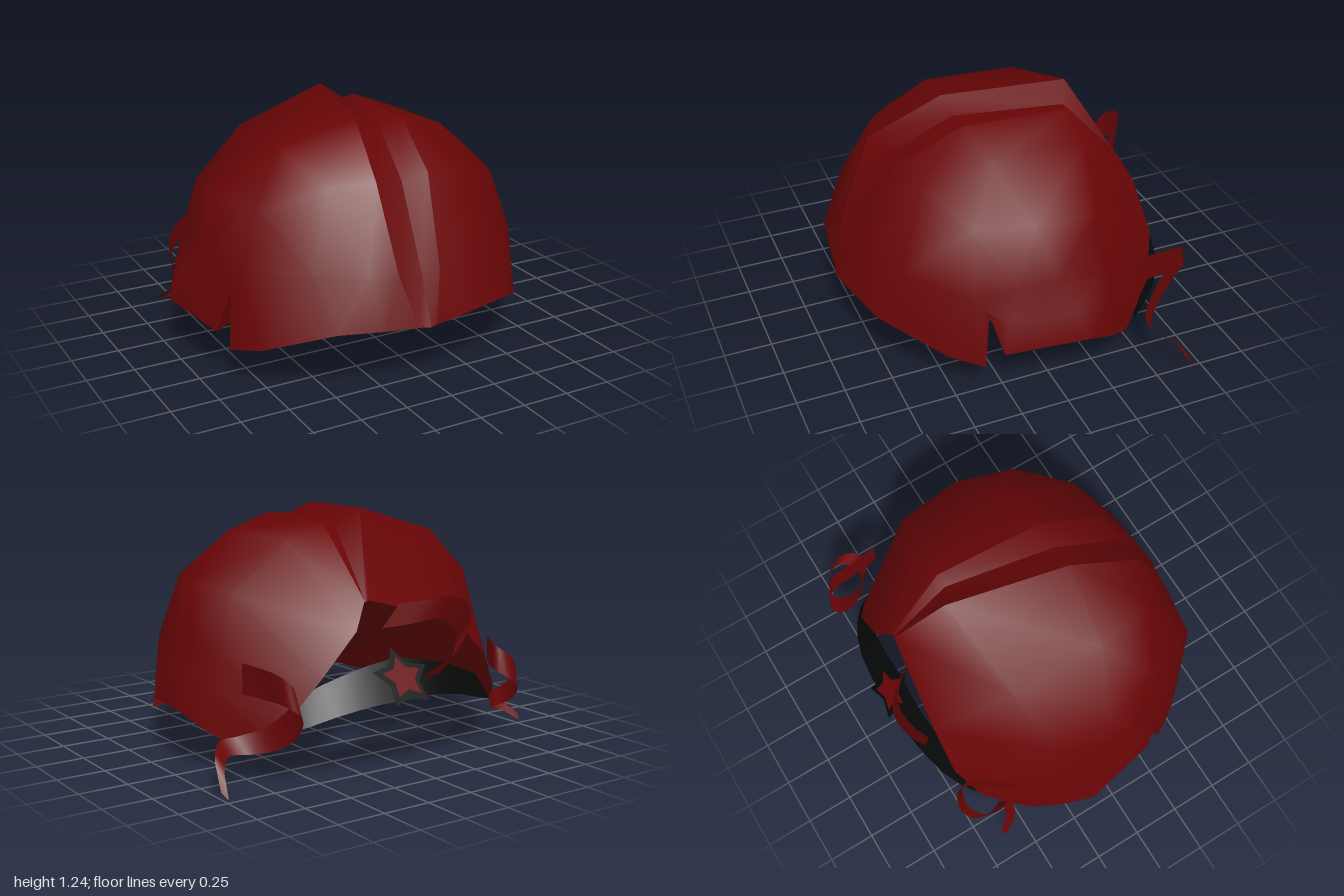
import * as THREE from 'three';

const red = new THREE.MeshStandardMaterial({ color: 0x690506, side: THREE.DoubleSide });
red.name = 'dark red cloth';
const black = new THREE.MeshStandardMaterial({ color: 0x060808, side: THREE.DoubleSide });
black.name = 'black strap';

const CX = -0.04;

// Half of the cap, front hem to back opening; each row runs side hem -> crown [dx, y, z]
const HALF = [
  [[0.84, 0.18, 0.36], [0.80, 0.20, 0.43], [0.74, 0.22, 0.52], [0.47, 0.35, 0.79], [0.24, 0.335, 0.83]],
  [[0.81, 0.47, 0.33], [0.80, 0.51, 0.36], [0.77, 0.56, 0.40], [0.53, 0.62, 0.66], [0.27, 0.58, 0.75]],
  [[0.87, 0.25, 0.27], [0.86, 0.42, 0.23], [0.81, 0.59, 0.18], [0.67, 0.87, 0.36], [0.38, 0.99, 0.51]],
  [[0.96, 0.29, -0.14], [0.92, 0.44, -0.10], [0.81, 0.59, -0.04], [0.76, 0.88, 0.06], [0.47, 1.11, 0.17]],
  [[0.89, 0.21, -0.30], [0.86, 0.40, -0.30], [0.81, 0.58, -0.30], [0.73, 0.86, -0.28], [0.45, 1.10, -0.33]],
  [[0.81, 0.15, -0.43], [0.73, 0.22, -0.535], [0.64, 0.30, -0.64], [0.50, 0.50, -0.715], [0.30, 0.70, -0.71]],
];
// Crown pleat: raised left fold, valley, right edge
const PLEAT = [
  [[-0.10, 0.325, 0.85], [-0.04, 0.32, 0.865], [0.00, 0.325, 0.86]],
  [[-0.17, 0.58, 0.775], [-0.04, 0.57, 0.77], [0.06, 0.57, 0.775]],
  [[-0.20, 1.01, 0.60], [-0.04, 0.98, 0.57], [0.11, 1.00, 0.57]],
  [[-0.11, 1.22, 0.23], [0.03, 1.17, 0.22], [0.17, 1.18, 0.22]],
  [[0.02, 1.25, -0.40], [0.13, 1.17, -0.34], [0.20, 1.18, -0.34]],
  [[0.15, 0.83, -0.65], [0.16, 0.82, -0.64], [0.17, 0.83, -0.65]],
];

// Surface through a grid of points
function patch(rows, flip) {
  const n = rows[0].length, index = [];
  for (let i = 0; i < rows.length - 1; i++) {
    for (let j = 0; j < n - 1; j++) {
      const a = i * n + j, b = a + n, c = a + 1, d = b + 1;
      if (flip) index.push(a, d, b, a, c, d);
      else index.push(a, b, d, a, d, c);
    }
  }
  const g = new THREE.BufferGeometry();
  g.setAttribute('position', new THREE.Float32BufferAttribute(rows.flat(2), 3));
  g.setIndex(index);
  g.computeVertexNormals();
  return g;
}

// Thin band along a curve: the width direction turns from dir0 to dir1, widths go w0, wm, w1
function ribbon(points, dir0, dir1, [w0, wm, w1], steps = 14) {
  const curve = new THREE.CatmullRomCurve3(points.map(p => new THREE.Vector3(...p)));
  const d0 = new THREE.Vector3(...dir0).normalize(), d1 = new THREE.Vector3(...dir1).normalize();
  const rows = [];
  for (let i = 0; i <= steps; i++) {
    const t = i / steps, p = curve.getPoint(t);
    const side = d0.clone().lerp(d1, t).normalize();
    const w = t < 0.5 ? w0 + (wm - w0) * t * 2 : wm + (w1 - wm) * (t * 2 - 1);
    rows.push([1, -1].map(s => p.clone().addScaledVector(side, s * w / 2).toArray()));
  }
  return patch(rows, false);
}

function starShape(radius) {
  const star = new THREE.Shape();
  for (let i = 0; i < 10; i++) {
    const r = i % 2 ? radius * 0.55 : radius, a = i * Math.PI / 5;
    star[i ? 'lineTo' : 'moveTo'](r * Math.sin(a), r * Math.cos(a));
  }
  return new THREE.ShapeGeometry(star);
}

export function createModel() {
  const group = new THREE.Group();
  const add = (name, geometry, material) => {
    const m = new THREE.Mesh(geometry, material);
    m.name = name;
    group.add(m);
    return m;
  };

  // Two cloth halves meeting at the pleat
  const halfRows = s => HALF.map((row, i) => [
    ...row.map(([x, y, z]) => [CX + s * x, y, z]),
    PLEAT[i][s > 0 ? 2 : 0],
  ]);
  const left = halfRows(1), right = halfRows(-1);
  add('capLeftHalf', patch(left, false), red);
  add('capRightHalf', patch(right, true), red);
  add('pleatFold', patch(PLEAT.map(r => r.slice(0, 2)), true), red);
  add('pleatBase', patch(PLEAT.map(r => r.slice(1)), true), red);

  // Hollow underside: facets from the whole hem and back opening to a raised centre
  const hem = [
    PLEAT[5][1], ...right[5].slice(1).reverse(),
    ...right.map(r => r[0]).reverse(), ...right[0].slice(1),
    PLEAT[0][1],
    ...left[0].slice(1).reverse(), ...left.map(r => r[0]),
    ...left[5].slice(1), PLEAT[5][1],
  ];
  const centre = [CX, 0.4, -0.05], tris = [];
  for (let i = 0; i < hem.length - 1; i++) tris.push(...centre, ...hem[i + 1], ...hem[i]);
  const under = new THREE.BufferGeometry();
  under.setAttribute('position', new THREE.Float32BufferAttribute(tris, 3));
  under.computeVertexNormals();
  add('underside', under, red);

  // Sloping strap across the back opening
  add('backStrap', ribbon([
    [-0.79, 0.22, -0.46], [-0.54, 0.32, -0.68], [-0.24, 0.42, -0.755],
    [0.05, 0.45, -0.765], [0.36, 0.41, -0.745], [0.58, 0.32, -0.65], [0.72, 0.22, -0.48],
  ], [0, 0.8, 0.6], [0, 0.8, 0.6], [0.11, 0.22, 0.11]), black);

  // Knot lying on the strap over a wider black backing
  [['knotBacking', 0.17, black, 0.008], ['strapKnot', 0.115, red, 0.016]].forEach(([name, r, mat, lift]) => {
    const m = add(name, starShape(r), mat);
    m.position.set(0.03, 0.45 + lift * 0.6, -0.77 - lift * 0.8);
    m.rotation.set(0.64, Math.PI, 0);
  });

  // Loose curling cloth ends
  add('leftTie', ribbon([
    [0.75, 0.49, -0.47], [0.73, 0.49, -0.62], [0.71, 0.48, -0.77], [0.65, 0.42, -0.80],
    [0.64, 0.32, -0.74], [0.69, 0.23, -0.64], [0.79, 0.19, -0.55],
    [0.89, 0.19, -0.54], [0.965, 0.15, -0.62], [0.985, 0.02, -0.70],
  ], [0, 1, 0], [0.4, 0.6, 0.7], [0.15, 0.13, 0.05], 22), red);
  add('rightTie', ribbon([
    [-0.78, 0.47, -0.48], [-0.66, 0.48, -0.62], [-0.62, 0.46, -0.73], [-0.70, 0.40, -0.765],
    [-0.77, 0.32, -0.72], [-0.78, 0.23, -0.62], [-0.75, 0.18, -0.54],
    [-0.82, 0.15, -0.55], [-0.88, 0.09, -0.63],
  ], [0, 1, 0], [-0.4, 0.6, 0.7], [0.14, 0.12, 0.05], 22), red);
  add('middleCurl', ribbon([
    [0.02, 0.74, -0.66], [-0.08, 0.77, -0.77], [-0.18, 0.79, -0.83],
    [-0.31, 0.72, -0.81], [-0.35, 0.60, -0.76], [-0.26, 0.51, -0.79], [-0.10, 0.46, -0.81],
  ], [-0.4, 0.8, -0.35], [-0.4, 0.8, -0.35], [0.15, 0.14, 0.07], 16), red);
  return group;
}
